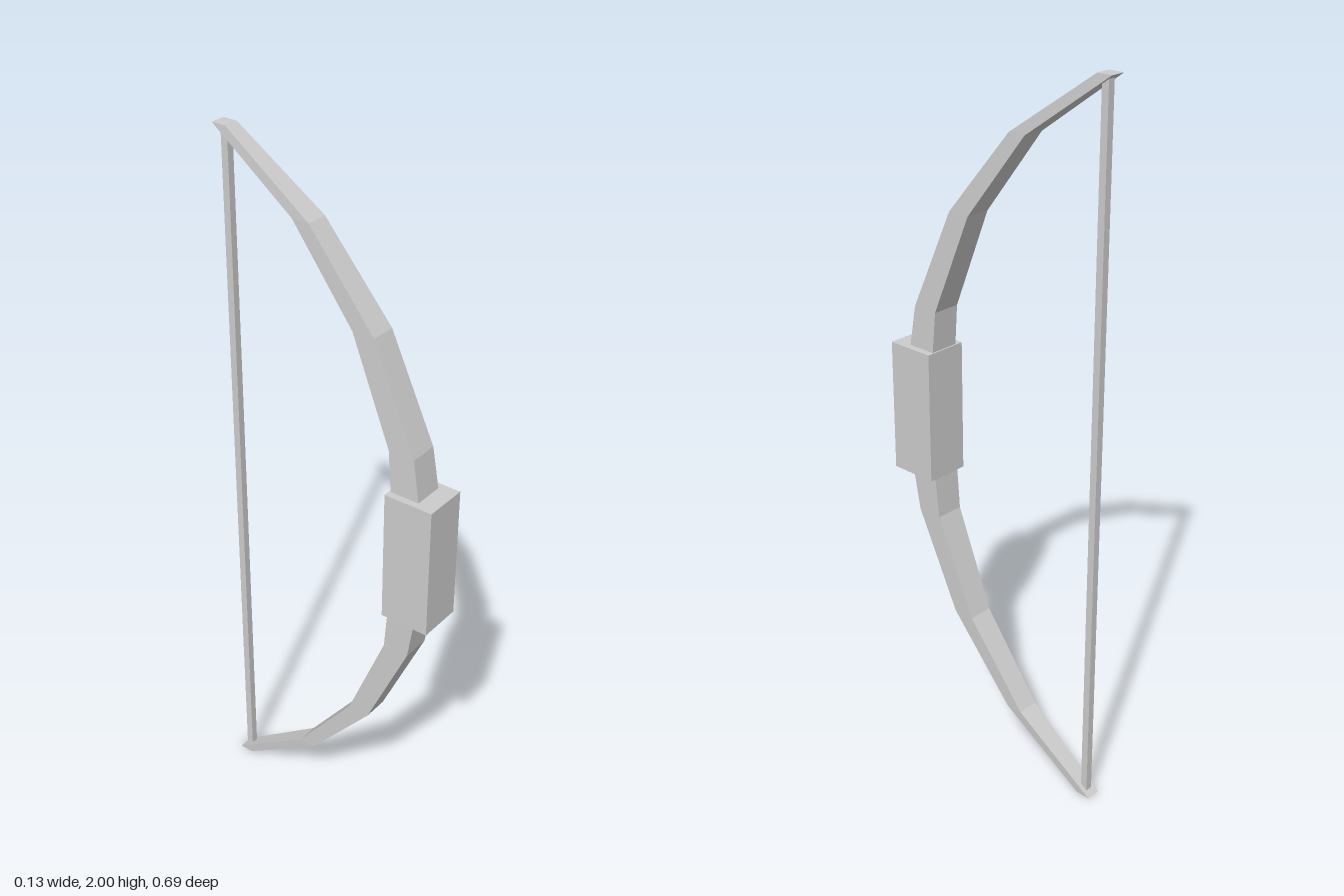
import * as THREE from 'three';

// Limb sections from grip to tip: [outer z, inner z, y above centre, half width]
const SECTIONS = [
  [0.294, 0.21, 0, 0.043],
  [0.294, 0.21, 0.19, 0.043],
  [0.275, 0.2, 0.305, 0.041],
  [0.147, 0.083, 0.59, 0.036],
  [-0.05, -0.1, 0.825, 0.031],
  [-0.305, -0.347, 1, 0.021],
];

// Tapered rectangular limb lofted through the sections; dir is 1 (up) or -1 (down)
function limbGeometry(dir) {
  const pos = [];
  const rings = SECTIONS.map(([zo, zi, y, w]) => [
    [-w, 1 + dir * y, zo], [w, 1 + dir * y, zo],
    [w, 1 + dir * y, zi], [-w, 1 + dir * y, zi],
  ]);
  const quad = (a, b, c, d) => {
    const tris = dir > 0 ? [a, b, c, a, c, d] : [a, c, b, a, d, c];
    tris.forEach((p) => pos.push(...p));
  };
  for (let i = 0; i < rings.length - 1; i++) {
    for (let j = 0; j < 4; j++) {
      const k = (j + 1) % 4;
      quad(rings[i][j], rings[i][k], rings[i + 1][k], rings[i + 1][j]);
    }
  }
  quad(...rings[rings.length - 1]); // flat tip
  const geo = new THREE.BufferGeometry();
  geo.setAttribute('position', new THREE.Float32BufferAttribute(pos, 3));
  geo.computeVertexNormals();
  return geo;
}

export function createModel() {
  const group = new THREE.Group();
  group.name = 'bow';
  const grey = new THREE.MeshStandardMaterial({ color: 0xcccccc });
  grey.name = 'light grey';

  const add = (name, geometry, x = 0, y = 0, z = 0) => {
    const mesh = new THREE.Mesh(geometry, grey);
    mesh.name = name;
    mesh.position.set(x, y, z);
    group.add(mesh);
  };

  // Curved limbs
  add('upperLimb', limbGeometry(1));
  add('lowerLimb', limbGeometry(-1));

  // Block grip around the middle
  add('grip', new THREE.BoxGeometry(0.126, 0.376, 0.14), 0, 1.002, 0.276);

  // Straight string between the tips
  add('string', new THREE.BoxGeometry(0.02, 1.98, 0.02), 0, 1, -0.32);

  return group;
}
